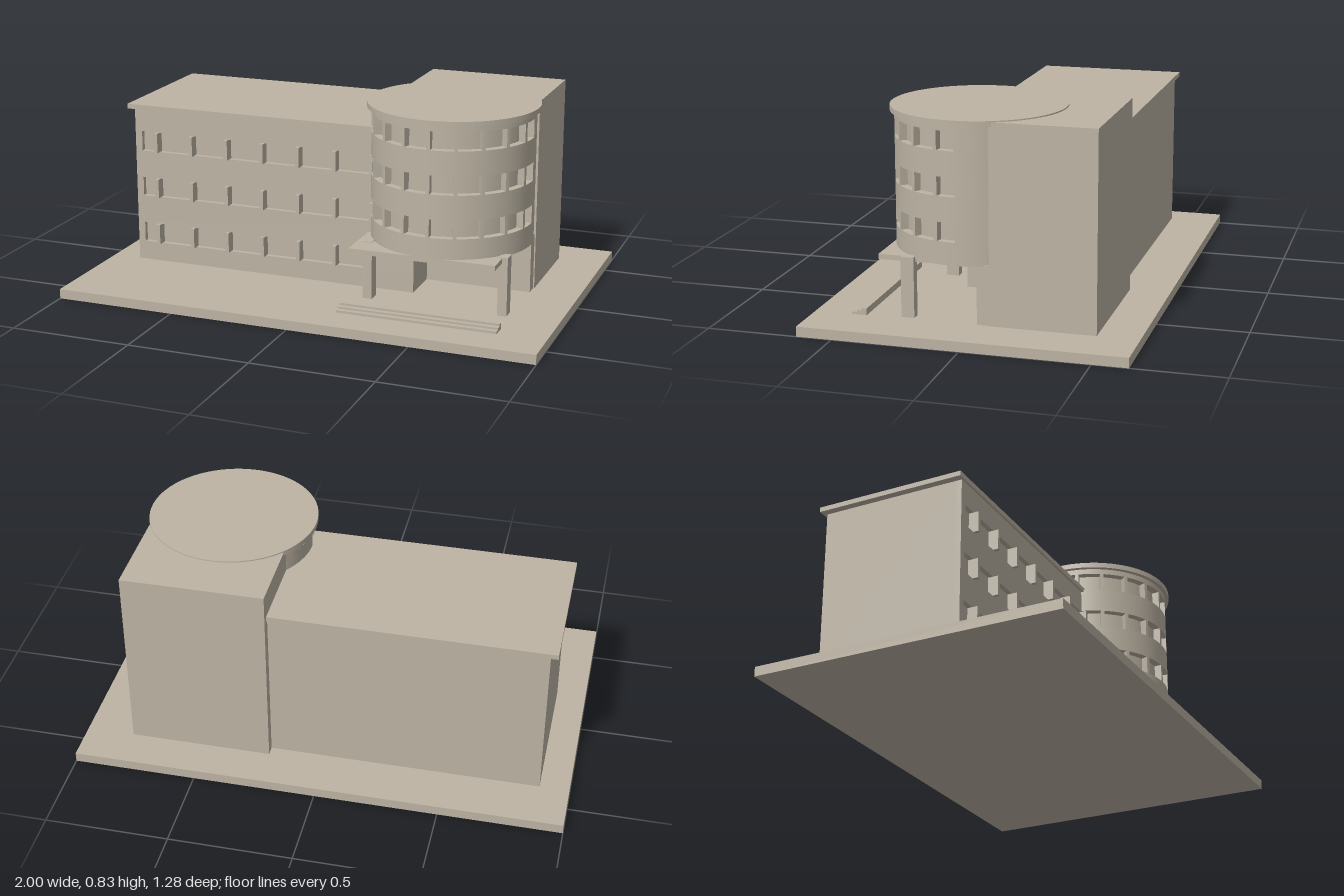
import * as THREE from 'three';

export function createModel() {
  const model = new THREE.Group();
  model.name = 'building';
  const stone = new THREE.MeshStandardMaterial({ color: 0xbdb4a4 });
  stone.name = 'warm stone';

  const add = (name, geometry, parent = model) => {
    const mesh = new THREE.Mesh(geometry, stone);
    mesh.name = name;
    parent.add(mesh);
    return mesh;
  };
  // Box given by its limits on each axis
  const box = (name, x0, x1, y0, y1, z0, z1, parent) =>
    add(name, new THREE.BoxGeometry(x1 - x0, y1 - y0, z1 - z0), parent)
      .position.set((x0 + x1) / 2, (y0 + y1) / 2, (z0 + z1) / 2);
  const group = (name) => {
    const g = new THREE.Group();
    g.name = name;
    model.add(g);
    return g;
  };

  box('base', -1, 1, 0, 0.04, -0.64, 0.64);

  // Long wing: core, wall strips between window bands, projecting fins
  const wing = group('wing');
  box('wingCore', -0.88, 0.36, 0.04, 0.70, -0.435, 0.145, wing);
  const wingBands = [[0.12, 0.205], [0.324, 0.405], [0.521, 0.605]];
  let y = 0.04;
  for (const [low, high] of [...wingBands, [0.70, 0.70]]) {
    box('wingWallStrip', -0.88, 0.36, y, low, 0.145, 0.165, wing);
    y = high;
  }
  for (const [low, high] of wingBands) {
    box('wingEndWall', -0.88, -0.85, low, high, 0.145, 0.165, wing);
    box('wingInnerWall', 0.19, 0.36, low, high, 0.145, 0.165, wing);
    for (let i = 0; i < 7; i++) {
      const x = -0.777 + i * 0.16;
      box('windowFin', x - 0.008, x + 0.008, low, high, 0.145, 0.187, wing);
    }
  }
  box('wingRoof', -0.91, 0.24, 0.70, 0.72, -0.45, 0.175, wing);

  // Rear stair block and recessed entrance wall
  box('rearBlock', 0.225, 0.805, 0.04, 0.825, -0.475, -0.06);
  box('entranceWall', 0.36, 0.80, 0.04, 0.275, -0.06, -0.01);

  // Round tower: inner drum wrapped by curved wall pieces
  const tower = group('tower');
  tower.position.set(0.49, 0, 0.068);
  const inner = 0.298, outer = 0.328;
  const rad = THREE.MathUtils.degToRad;
  const drum = (name, r, y0, y1) =>
    add(name, new THREE.CylinderGeometry(r, r, y1 - y0, 72), tower).position.y = (y0 + y1) / 2;
  // Curved wall; angles run from +x through the front
  const curvedWall = (name, y0, y1, a0, a1) => {
    const shape = new THREE.Shape();
    shape.absarc(0, 0, outer, rad(a0), rad(a1), false);
    shape.absarc(0, 0, inner, rad(a1), rad(a0), true);
    const geometry = new THREE.ExtrudeGeometry(shape, {
      depth: y1 - y0, bevelEnabled: false, curveSegments: Math.max(2, Math.ceil((a1 - a0) / 5)),
    });
    geometry.rotateX(Math.PI / 2);
    geometry.translate(0, y1, 0);
    add(name, geometry, tower);
  };
  drum('towerCore', inner, 0.27, 0.81);
  const towerBands = [[0.36, 0.435], [0.535, 0.61], [0.71, 0.785]];
  y = 0.27;
  for (const [low, high] of [...towerBands, [0.81, 0.81]]) {
    drum('towerWallRing', outer, y, low);
    y = high;
  }
  for (const [low, high] of towerBands) {
    curvedWall('towerBackWall', low, high, 180, 360);
    for (let i = 0; i < 9; i++) {
      const a = 14 + i * 19;
      curvedWall('towerMullion', low, high, a - 1.3, a + 1.3);
    }
  }
  drum('towerRoof', 0.345, 0.808, 0.83);

  // Entrance canopy on two columns
  box('canopy', 0.165, 0.765, 0.257, 0.277, 0.01, 0.392);
  for (const x of [0.19, 0.75]) box('column', x, x + 0.038, 0.04, 0.28, 0.243, 0.295);

  // Entrance steps
  [[0.05, 0.49], [0.058, 0.47], [0.067, 0.45]].forEach(([top, front]) =>
    box('step', 0.15, 0.805, 0.04, top, 0.43, front));

  return model;
}
